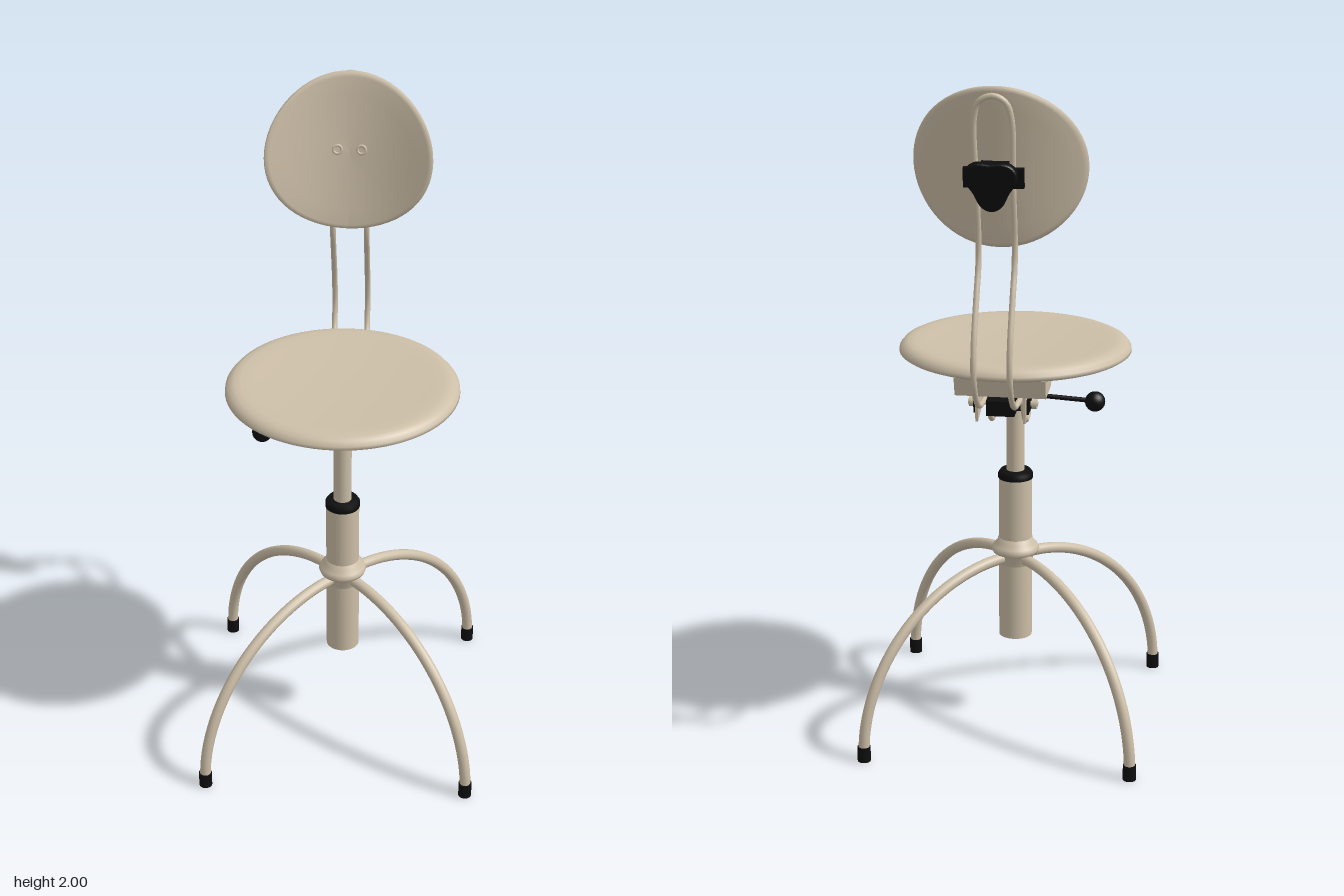
import * as THREE from 'three';

const CZ = 0.023; // z of the column axis

export function createModel() {
  const root = new THREE.Group();
  const beige = new THREE.MeshStandardMaterial({ color: 0xcdbfa8 });
  beige.name = 'beigeEnamel';
  const black = new THREE.MeshStandardMaterial({ color: 0x0e0e0e });
  black.name = 'blackPlastic';

  const add = (name, geo, mat, x = 0, y = 0, z = 0) => {
    const m = new THREE.Mesh(geo, mat);
    m.name = name;
    m.position.set(x, y, z);
    root.add(m);
    return m;
  };
  const lathe = (pts, seg = 40) =>
    new THREE.LatheGeometry(pts.map(([r, y]) => new THREE.Vector2(r, y)), seg);
  const cyl = (name, r, y0, y1, mat, x = 0, z = CZ) =>
    add(name, new THREE.CylinderGeometry(r, r, y1 - y0, 32), mat, x, (y0 + y1) / 2, z);
  // side outline given as [z, y], extruded to a width centred on x
  const sideProfile = (name, pts, width, mat, x = 0) => {
    const shape = new THREE.Shape(pts.map(([z, y]) => new THREE.Vector2(z, y)));
    const g = new THREE.ExtrudeGeometry(shape, { depth: width, bevelEnabled: false });
    g.translate(0, 0, -width / 2).rotateY(-Math.PI / 2);
    return add(name, g, mat, x);
  };
  const crossBar = (name, r, len, mat, x, y, z) =>
    add(name, new THREE.CylinderGeometry(r, r, len, 16).rotateZ(Math.PI / 2), mat, x, y, z);

  // column
  cyl('outerColumn', 0.05, 0.265, 0.78, beige);
  add('columnCap', lathe([[0, 0.772], [0.052, 0.772], [0.052, 0.787], [0.045, 0.797], [0, 0.797]]), black, 0, 0, CZ);
  cyl('innerPost', 0.027, 0.78, 1.02, beige);
  cyl('postSocket', 0.037, 0.99, 1.13, black);
  add('legCollar', lathe([[0.045, 0.5], [0.052, 0.5], [0.054, 0.53], [0.068, 0.536], [0.072, 0.546],
    [0.067, 0.558], [0.056, 0.568], [0.052, 0.582], [0.045, 0.584]]), beige, 0, 0, CZ);

  // four arched legs with rubber feet
  for (let i = 0; i < 4; i++) {
    const a = Math.PI / 4 + (i * Math.PI) / 2;
    const dx = Math.cos(a), dz = Math.sin(a);
    const pts = [];
    for (let k = 0; k <= 12; k++) {
      const t = (k / 12) * Math.PI / 2;
      const r = 0.04 + 0.517 * Math.sin(t);
      pts.push(new THREE.Vector3(dx * r, 0.015 + 0.507 * Math.cos(t), CZ + dz * r));
    }
    add('leg', new THREE.TubeGeometry(new THREE.CatmullRomCurve3(pts), 40, 0.0165, 14), beige);
    cyl('foot', 0.0195, 0, 0.046, black, dx * 0.556, CZ + dz * 0.556);
  }

  // dished round seat
  add('seat', lathe([[0, 1.162], [0.2, 1.165], [0.31, 1.167], [0.332, 1.168], [0.341, 1.174], [0.34, 1.184],
    [0.33, 1.196], [0.315, 1.203], [0.295, 1.205], [0.26, 1.203], [0.18, 1.198], [0.09, 1.195], [0, 1.194]], 72),
    beige, 0, 0, CZ);

  // support under the seat
  sideProfile('seatPlate', [[0.275, 1.165], [0.2, 1.128], [0.08, 1.115], [-0.15, 1.105], [-0.15, 1.125],
    [-0.02, 1.15], [0.08, 1.165]], 0.155, black);
  sideProfile('tiltArm', [[0.27, 1.16], [0.217, 1.11], [0.085, 1.08], [-0.02, 1.067], [-0.27, 1.055],
    [-0.275, 1.1], [-0.02, 1.135], [0.08, 1.16]], 0.08, black);
  sideProfile('rearBracket', [[-0.14, 1.167], [-0.16, 1.12], [-0.27, 1.112], [-0.285, 1.167]], 0.26, beige);
  for (const s of [-1, 1]) {
    sideProfile('bracketEar', [[-0.16, 1.12], [-0.2, 1.06], [-0.265, 1.035], [-0.27, 1.12]], 0.008, beige, s * 0.068);
    sideProfile('armFlange', [[-0.1, 1.115], [-0.1, 1.07], [-0.255, 1.058], [-0.26, 1.1]], 0.006, black, s * 0.076);
    crossBar('boltHead', 0.015, 0.014, beige, s * 0.09, 1.08, -0.215);
  }
  crossBar('pivotBolt', 0.008, 0.2, beige, 0, 1.08, -0.215);

  // height lever
  const lever = crossBar('lever', 0.007, 0.22, black, -0.125, 1.028, CZ);
  lever.rotation.z = 0.06;
  add('leverBall', new THREE.SphereGeometry(0.03, 24, 16), black, -0.237, 1.02, CZ);

  // bent wire: hook, spring bend, arch over the top, and mirrored down again
  const half = [
    [0.05, 1.08, -0.168], [0.05, 1.03, -0.148], [0.05, 0.995, -0.105], [0.05, 1.005, -0.064],
    [0.05, 1.05, -0.052], [0.05, 1.085, -0.085], [0.05, 1.094, -0.15], [0.05, 1.095, -0.26],
    [0.05, 1.105, -0.335], [0.05, 1.15, -0.392], [0.05, 1.22, -0.42], [0.05, 1.3, -0.412],
    [0.05, 1.42, -0.365], [0.05, 1.5, -0.33], [0.05, 1.56, -0.323], [0.05, 1.735, -0.357],
    [0.05, 1.92, -0.387], [0.036, 1.963, -0.395],
  ];
  const mirrored = half.map(([x, y, z]) => [-x, y, z]).reverse();
  const wire = [...half, [0, 1.98, -0.398], ...mirrored].map((p) => new THREE.Vector3(...p));
  add('backWire', new THREE.TubeGeometry(new THREE.CatmullRomCurve3(wire), 220, 0.0085, 10), beige);

  // backrest: rounded disc, curved around the sitter and leaning back
  const bend = (x, y) => 1.2 * x * x - 0.19 * y;
  const disc = lathe([[0, -0.01], [0.06, -0.01], [0.12, -0.01], [0.18, -0.01], [0.228, -0.01], [0.239, -0.007],
    [0.243, 0], [0.239, 0.007], [0.228, 0.01], [0.18, 0.01], [0.12, 0.01], [0.06, 0.01], [0, 0.01]], 64);
  disc.rotateX(Math.PI / 2).scale(1, 0.937, 1);
  const p = disc.attributes.position;
  for (let i = 0; i < p.count; i++) p.setZ(i, p.getZ(i) + bend(p.getX(i), p.getY(i)));
  disc.computeVertexNormals();
  add('backrest', disc, beige, 0, 1.773, -0.318);

  // screw rings on the backrest face
  for (const s of [-1, 1]) {
    const ring = add('screwRing', new THREE.TorusGeometry(0.012, 0.004, 10, 24), beige, s * 0.035, 1.78, -0.307);
    ring.rotation.set(-0.19, s * -0.08, 0);
  }

  // clamp and three-lobed knob behind the backrest
  const clamp = new THREE.Group();
  clamp.name = 'backClamp';
  clamp.position.set(0, 1.765, -0.33);
  clamp.rotation.x = -0.17;
  root.add(clamp);
  const lobes = new THREE.Shape();
  for (let i = 0; i <= 60; i++) {
    const a = (i / 60) * Math.PI * 2;
    const r = 0.067 + 0.011 * Math.cos(3 * (a + Math.PI / 2));
    lobes[i ? 'lineTo' : 'moveTo'](r * Math.cos(a), r * Math.sin(a));
  }
  const parts = [
    ['clampBlock', new THREE.BoxGeometry(0.08, 0.06, 0.04), -0.005],
    ['clampPlate', new THREE.BoxGeometry(0.165, 0.055, 0.016), -0.043],
    ['knobStem', new THREE.CylinderGeometry(0.018, 0.018, 0.07, 20).rotateX(Math.PI / 2), -0.055],
    ['knob', new THREE.ExtrudeGeometry(lobes, { depth: 0.014, bevelSize: 0.007, bevelThickness: 0.008,
      bevelOffset: -0.007, bevelSegments: 3 }), -0.094],
  ];
  for (const [name, geo, z] of parts) {
    const m = new THREE.Mesh(geo, black);
    m.name = name;
    m.position.z = z;
    clamp.add(m);
  }
  return root;
}
